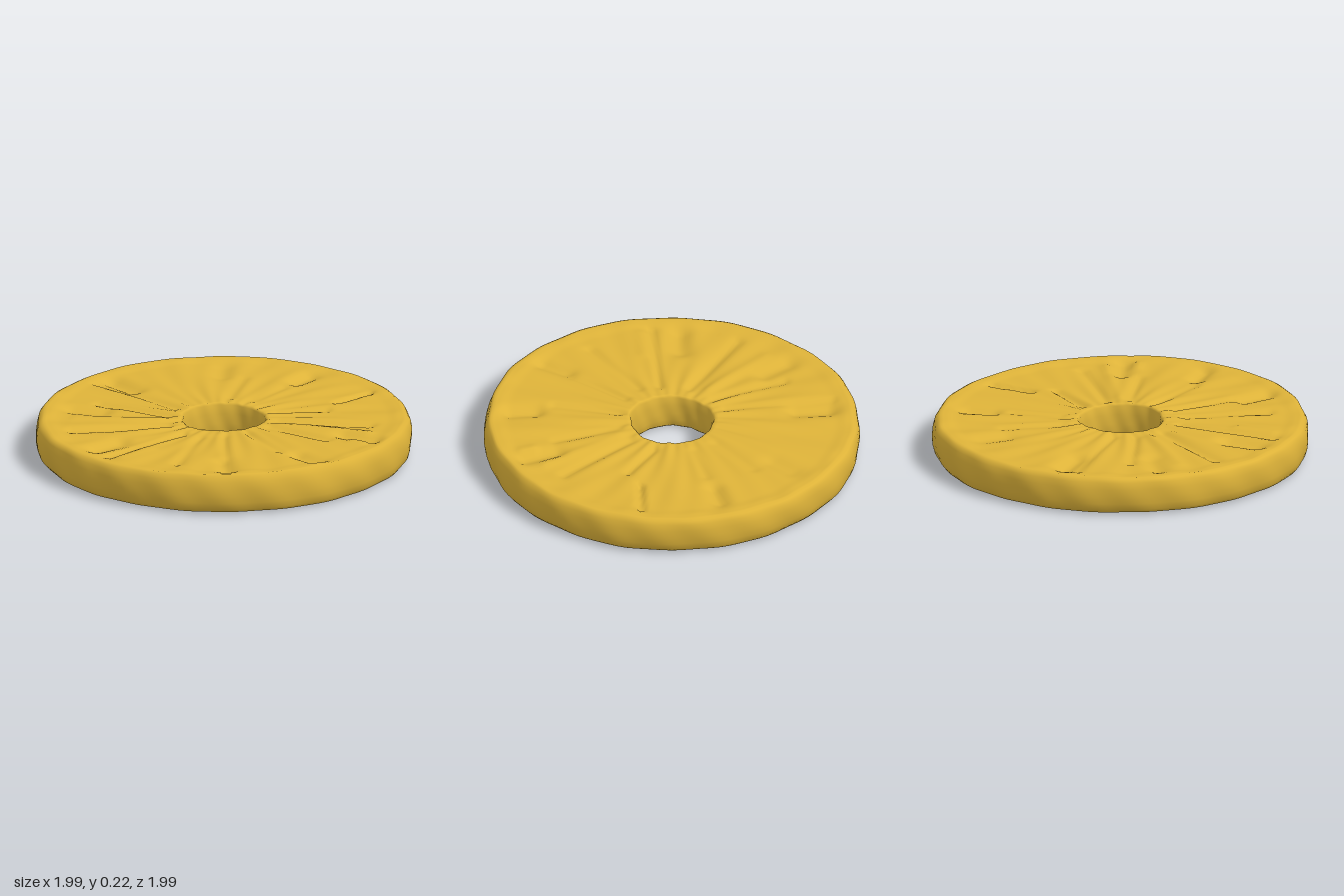
import * as THREE from 'three';
import { mergeVertices } from 'three/addons/utils/BufferGeometryUtils.js';

// Marks on the cut faces: x0, z0, x1, z1, width, height (negative is sunken)
const cells = [
  [-0.82, 0.08, -0.66, 0.07, 0.055, -0.03], [0.72, 0.08, 0.85, 0.07, 0.045, -0.03],
  [-0.62, 0.52, -0.50, 0.42, 0.055, -0.025], [0.55, 0.45, 0.67, 0.53, 0.045, -0.03],
  [-0.06, 0.66, -0.06, 0.82, 0.055, -0.03], [0.62, -0.31, 0.78, -0.38, 0.05, -0.025],
  [-0.24, -0.78, -0.21, -0.66, 0.045, -0.025], [-0.62, -0.5, -0.52, -0.42, 0.06, -0.015],
];
const fibres = [
  [0.10, -0.28, 0.24, -0.50, 0.025, -0.016], [0.22, -0.19, 0.58, -0.52, 0.03, -0.018],
  [0.28, -0.08, 0.62, -0.20, 0.025, -0.012], [0.28, 0.06, 0.62, 0.13, 0.025, -0.012],
  [0.24, 0.20, 0.52, 0.40, 0.025, -0.014], [0.17, 0.30, 0.42, 0.66, 0.03, -0.014],
  [-0.10, 0.30, -0.36, 0.74, 0.03, -0.016], [-0.22, 0.20, -0.60, 0.36, 0.025, -0.014],
  [-0.28, 0.10, -0.85, 0.17, 0.022, -0.012], [0.06, 0.32, 0.09, 0.86, 0.022, -0.018],
  [0.18, -0.85, 0.18, -0.62, 0.018, -0.025], [-0.10, -0.30, -0.17, -0.55, 0.025, -0.010],
  [-0.22, -0.24, -0.42, -0.48, 0.03, -0.010],
  [0.28, -0.16, 0.68, -0.42, 0.03, 0.010], [0.14, 0.62, 0.15, 0.82, 0.03, 0.008],
  [0.74, -0.28, 0.80, -0.30, 0.03, 0.014], [-0.2, 0.28, -0.5, 0.6, 0.03, 0.007],
];

function relief(marks, x, z) {
  let h = 0;
  for (const [x0, z0, x1, z1, w, height] of marks) {
    const dx = x1 - x0, dz = z1 - z0;
    const t = THREE.MathUtils.clamp(((x - x0) * dx + (z - z0) * dz) / (dx * dx + dz * dz), 0, 1);
    const d = Math.hypot(x - x0 - t * dx, z - z0 - t * dz) / w;
    h += height * Math.exp(-d * d);
  }
  return h;
}

// Closed cross-section: bottom face, rounded rind, top face, core wall
function crossSection() {
  const p = [], add = (r, y) => p.push(new THREE.Vector2(r, y));
  const rings = 44;
  add(0.218, 0.022);
  for (let i = 0; i <= rings; i++) add(0.228 + 0.712 * i / rings, 0.012);
  [[0.965, 0.016], [0.98, 0.035], [0.989, 0.07], [0.992, 0.11], [0.99, 0.15],
    [0.983, 0.185], [0.97, 0.207], [0.955, 0.215]].forEach(([r, y]) => add(r, y));
  for (let i = rings; i >= 0; i--) {
    const r = 0.228 + 0.712 * i / rings;
    add(r, 0.207 + 0.007 * THREE.MathUtils.smoothstep(r, 0.86, 0.93));
  }
  [[0.218, 0.197], [0.213, 0.15], [0.211, 0.1], [0.212, 0.06], [0.218, 0.022]].forEach(([r, y]) => add(r, y));
  return p;
}

function sliceGeometry() {
  let g = new THREE.LatheGeometry(crossSection(), 240);
  g.deleteAttribute('uv');
  g.deleteAttribute('normal');
  g = mergeVertices(g, 1e-5);
  const pos = g.attributes.position;
  for (let i = 0; i < pos.count; i++) {
    const x = pos.getX(i), y = pos.getY(i), z = pos.getZ(i);
    const r = Math.hypot(x, z), a = Math.atan2(z, x);
    const face = THREE.MathUtils.smoothstep(r, 0.205, 0.26) * (1 - THREE.MathUtils.smoothstep(r, 0.9, 0.97));
    const wave = 0.003 * Math.sin(17 * a + 5 * r) + 0.002 * Math.sin(31 * a - 9 * r);
    // Radial fibres and seed cells on both cut faces
    let ny = y;
    if (y > 0.19) ny += face * (relief(cells, x, z) + relief(fibres, x, z) + wave) + 0.007 * x + 0.004 * Math.sin(2 * a + 1);
    else if (y < 0.02) ny -= face * (relief(cells, x, z) + 0.5 * relief(fibres, x, z) + wave * 0.5);
    // Slightly uneven rind and core wall
    let s = 1;
    if (r > 0.93) s += 0.003 * Math.sin(9 * a + 14 * y) + 0.0025 * Math.sin(23 * a - 20 * y);
    else if (r < 0.24) s += 0.012 * Math.sin(5 * a) + 0.01 * Math.sin(13 * a + 25 * y);
    pos.setXYZ(i, x * s, Math.max(ny, 0), z * s);
  }
  g.computeVertexNormals();
  return g;
}

export function createModel() {
  const group = new THREE.Group();
  group.name = 'fruitRing';
  const flesh = new THREE.MeshStandardMaterial({ color: 0xdeb339 });
  flesh.name = 'golden flesh';
  const slice = new THREE.Mesh(sliceGeometry(), flesh);
  slice.name = 'slice';
  group.add(slice);
  return group;
}
